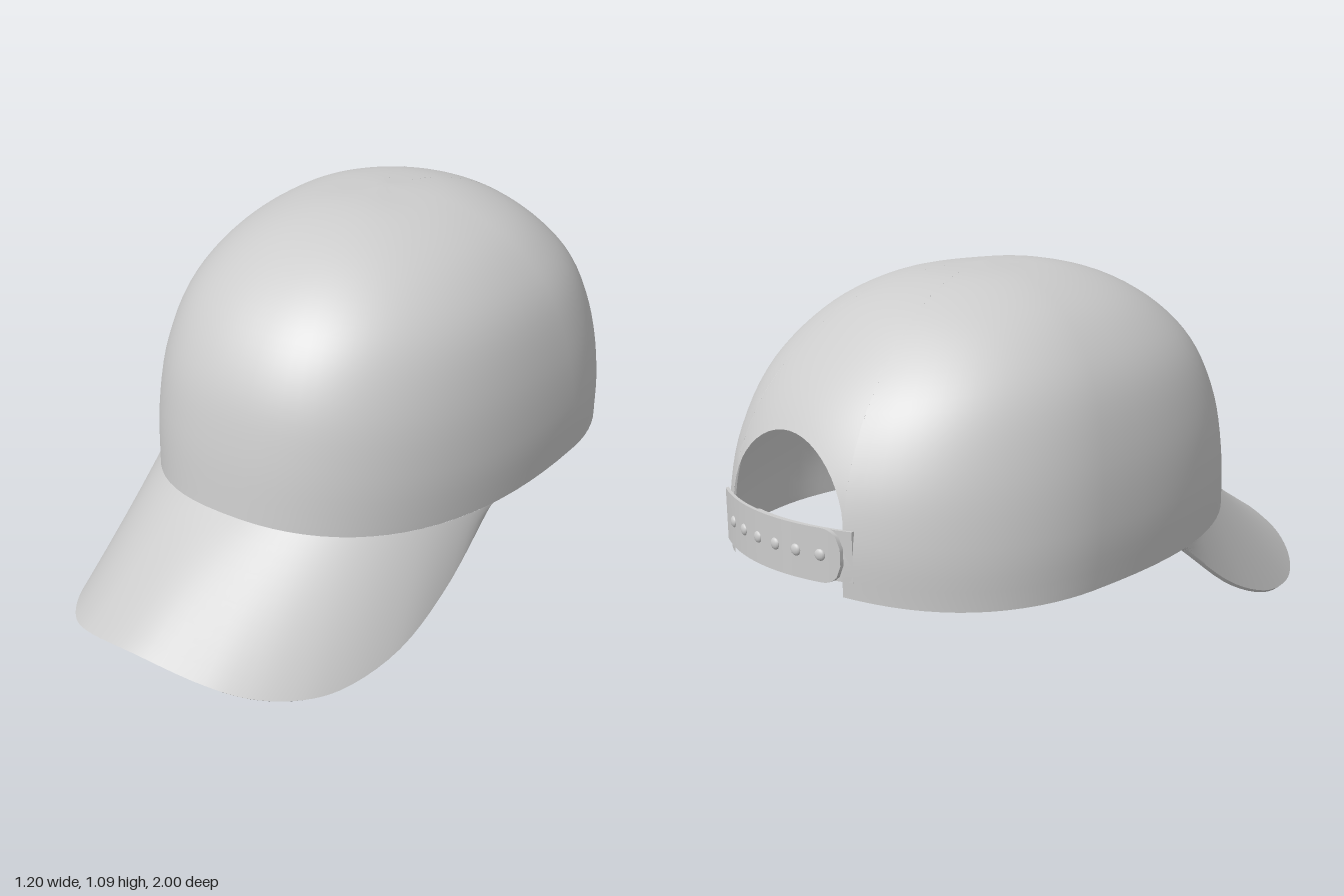
import * as THREE from 'three';
import { toCreasedNormals } from 'three/addons/utils/BufferGeometryUtils.js';

const spline = (pts) => new THREE.SplineCurve(pts.map(([a, b]) => new THREE.Vector2(a, b)));

// Crown meridians from rim to apex: (z, y) front and back, (x, y) at the side
const FRONT = spline([[0.6, 0.345], [0.58, 0.53], [0.54, 0.7], [0.46, 0.84], [0.34, 0.95], [0.18, 1.035], [0, 1.08], [-0.2, 1.09]]);
const BACK = spline([[-0.98, 0.35], [-0.98, 0.48], [-0.95, 0.62], [-0.87, 0.77], [-0.75, 0.9], [-0.6, 1.01], [-0.42, 1.07], [-0.2, 1.09]]);
const SIDE = spline([[0.595, 0.3], [0.6, 0.45], [0.58, 0.63], [0.53, 0.8], [0.45, 0.92], [0.34, 1.01], [0.19, 1.07], [0, 1.09]]);

// Point on the crown: theta runs around (front at PI/2), s from rim to apex
function crownPoint(theta, s) {
  const c = Math.cos(theta), d = Math.sin(theta);
  const power = d > 0 ? 2 / 2.35 : 1;
  const kx = Math.sign(c) * Math.abs(c) ** power;
  const kz = Math.abs(d) ** power;
  const end = (d > 0 ? FRONT : BACK).getPoint(s);
  const side = SIDE.getPoint(s);
  const mid = -0.38 + 0.18 * s;
  return new THREE.Vector3(side.x * kx, THREE.MathUtils.lerp(side.y, end.y, kz ** 4), mid + (end.x - mid) * kz);
}

// Skin a list of equally long columns of points
function skin(columns, crease) {
  const rows = columns[0].length, index = [];
  for (let i = 0; i < columns.length - 1; i++) {
    for (let j = 0; j < rows - 1; j++) {
      const a = i * rows + j, c = a + rows;
      index.push(a, a + 1, c, a + 1, c + 1, c);
    }
  }
  const geo = new THREE.BufferGeometry().setFromPoints(columns.flat());
  geo.setIndex(index);
  return toCreasedNormals(geo, crease);
}

// Dome with an arched opening at the back
function crownGeometry() {
  const HALF = 0.41, BACK_ANGLE = Math.PI * 1.5, ROWS = 32;
  const columns = [];
  const add = (theta, start) => {
    const col = [];
    for (let j = 0; j <= ROWS; j++) col.push(crownPoint(theta, start + (1 - start) * j / ROWS));
    columns.push(col);
  };
  const startAtHeight = (theta, y) => {
    let lo = 0, hi = 1;
    for (let k = 0; k < 25; k++) {
      const m = (lo + hi) / 2;
      if (crownPoint(theta, m).y < y) lo = m; else hi = m;
    }
    return lo;
  };
  const first = BACK_ANGLE - HALF, last = BACK_ANGLE + HALF;
  for (let i = 0; i <= 60; i++) add(first * i / 60, 0);
  for (let i = 0; i <= 24; i++) {
    const t = -Math.cos(Math.PI * i / 24);
    const theta = BACK_ANGLE + HALF * t;
    add(theta, startAtHeight(theta, 0.5 + 0.22 * Math.sqrt(Math.max(0, 1 - t * t))));
  }
  for (let i = 0; i <= 16; i++) add(last + (Math.PI * 2 - last) * i / 16, 0);
  return skin(columns, 0.8);
}

// Curved peak spanning from the crown rim to its drooping outer edge
function visorGeometry() {
  const half = [[0.2, 0.075, 0.96], [0.31, 0.038, 0.9], [0.405, 0.01, 0.8], [0.465, 0.002, 0.69], [0.52, 0.035, 0.5], [0.54, 0.125, 0.29], [0.547, 0.295, 0.05]];
  const pts = [
    ...half.slice().reverse(), [0, 0.115, 1], ...half.map(([x, y, z]) => [-x, y, z]),
  ].map((p) => new THREE.Vector3(...p));
  const edge = new THREE.CatmullRomCurve3(pts);
  const COLS = 64, ROWS = 10, columns = [];
  for (let i = 0; i <= COLS; i++) {
    const inner = crownPoint(THREE.MathUtils.lerp(0.39, Math.PI - 0.39, i / COLS), 0);
    const outer = edge.getPoint(i / COLS);
    const top = [];
    for (let j = 0; j <= ROWS; j++) top.push(inner.clone().lerp(outer, j / ROWS));
    const under = top.map((p) => new THREE.Vector3(p.x * 0.99, p.y + (p.y > 0.01 ? -0.006 : 0), p.z - 0.006));
    columns.push([...under, ...top.reverse()]);
  }
  return skin(columns, 0.7);
}

// Depth of the strap's curve at a given x
const strapZ = (x) => -0.38 - 0.605 * Math.sqrt(1 - (x / 0.61) ** 2);

// Band bent around the back, rounded at the end on side `tip`
function strapGeometry(x0, x1, height, inset, tip) {
  const geo = new THREE.BoxGeometry(x1 - x0, height, 0.01, 48, 6, 1);
  geo.translate((x0 + x1) / 2, 0, 0);
  const pos = geo.attributes.position, r = 0.05;
  for (let i = 0; i < pos.count; i++) {
    const x = pos.getX(i);
    const gap = tip < 0 ? x - x0 : x1 - x;
    const cut = gap < r ? r - Math.sqrt(Math.max(0, r * r - (r - gap) ** 2)) : 0;
    pos.setXYZ(i, x, 0.444 + pos.getY(i) * (1 - 2 * cut / height), pos.getZ(i) + strapZ(x) + inset);
  }
  return toCreasedNormals(geo, 0.7);
}

export function createModel() {
  const cap = new THREE.Group();
  cap.name = 'cap';
  const fabric = new THREE.MeshStandardMaterial({ color: 0xcccccc, side: THREE.DoubleSide });
  fabric.name = 'light grey';

  const add = (name, geo) => {
    const mesh = new THREE.Mesh(geo, fabric);
    mesh.name = name;
    cap.add(mesh);
    return mesh;
  };

  add('crown', crownGeometry());
  add('visor', visorGeometry());

  // Adjustable back strap: two overlapping bands and a row of studs
  add('outerStrap', strapGeometry(-0.245, 0.265, 0.145, -0.002, -1));
  add('innerStrap', strapGeometry(-0.265, 0.1, 0.135, 0.012, 1));
  const stud = new THREE.SphereGeometry(0.016, 14, 10);
  for (let i = 0; i < 6; i++) {
    const x = -0.19 + i * 0.075;
    const mesh = add('stud', stud);
    mesh.position.set(x, 0.445, strapZ(x) - 0.006);
    mesh.scale.z = 0.55;
    mesh.rotation.y = -Math.asin(x / 0.61);
  }
  return cap;
}
